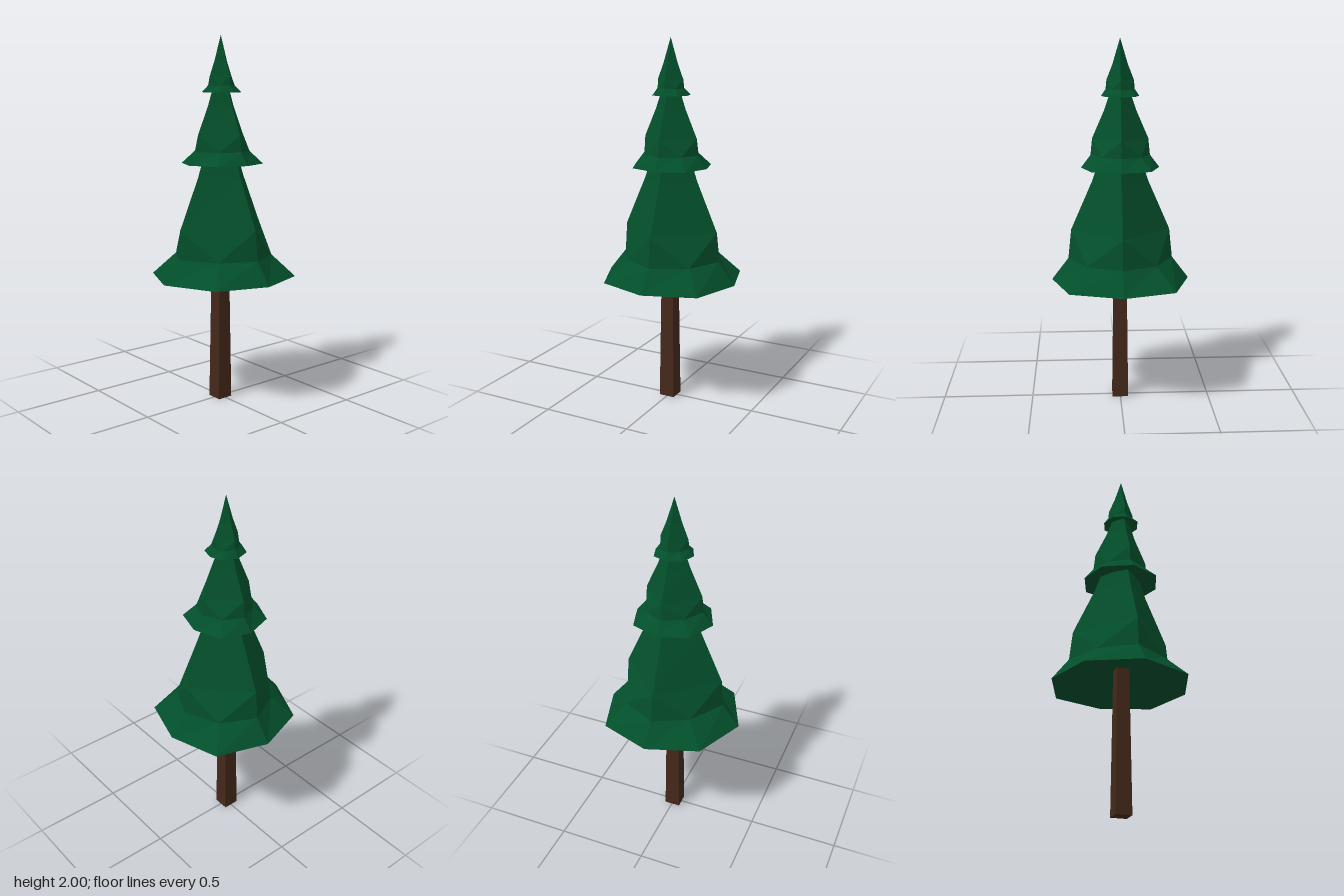
import * as THREE from 'three';

const leafMat = new THREE.MeshStandardMaterial({ color: 0x034f2b, flatShading: true });
const barkMat = new THREE.MeshStandardMaterial({ color: 0x44281a, flatShading: true });

// Eight-cornered flare rings: height, side radius, diagonal half-width, front z, back z, middle z
const HEM = [0.00, 0.376, 0.280, 0.384, -0.385, -0.020];
const WAIST = [0.12, 0.285, 0.187, 0.286, -0.290, -0.020];
// Four-cornered body rings: height, side radius, front z, back z, middle z
const SHOULDER = [0.28, 0.268, 0.275, -0.279, -0.018];
const NECK = [0.55, 0.150, 0.155, -0.160, -0.014];
const APEX = [0, 1, -0.005];
const HOLLOW = [0, 0.10, -0.015];

// Corners run counter-clockwise seen from above, starting at the front
const octagon = ([y, r, d, front, back, mid]) => [
  [0, y, front], [d, y, mid + d], [r, y, mid], [d, y, mid - d],
  [0, y, back], [-d, y, mid - d], [-r, y, mid], [-d, y, mid + d],
];
const diamond = ([y, r, front, back, mid]) => [
  [0, y, front], [r, y, mid], [0, y, back], [-r, y, mid],
];

// Eight-sided flare that turns into a four-sided spire, with a hollowed underside
function tierGeometry() {
  const hem = octagon(HEM), waist = octagon(WAIST);
  const shoulder = diamond(SHOULDER), neck = diamond(NECK);
  const pos = [];
  const tri = (a, b, c) => pos.push(...a, ...b, ...c);
  const quad = (a, b, c, d) => { tri(a, b, c); tri(a, c, d); };

  // Flare and underside
  for (let i = 0; i < 8; i++) {
    const j = (i + 1) % 8;
    quad(hem[i], hem[j], waist[j], waist[i]);
    tri(hem[j], hem[i], HOLLOW);
  }
  // Spire: each side rises from two waist edges
  for (let i = 0; i < 4; i++) {
    const j = (i + 1) % 4;
    const a = waist[2 * i], corner = waist[2 * i + 1], b = waist[2 * j];
    tri(a, corner, shoulder[i]);
    tri(corner, shoulder[j], shoulder[i]);
    tri(corner, b, shoulder[j]);
    quad(shoulder[i], shoulder[j], neck[j], neck[i]);
    tri(neck[i], neck[j], APEX);
  }
  const geo = new THREE.BufferGeometry();
  geo.setAttribute('position', new THREE.Float32BufferAttribute(pos, 3));
  geo.computeVertexNormals();
  return geo;
}

export function createModel() {
  const tree = new THREE.Group();
  tree.name = 'pineTree';

  // Square trunk, slightly tapered
  const trunkGeo = new THREE.CylinderGeometry(0.034 * Math.SQRT2, 0.044 * Math.SQRT2, 0.81, 4);
  trunkGeo.rotateY(Math.PI / 4);
  const trunk = new THREE.Mesh(trunkGeo, barkMat);
  trunk.name = 'trunk';
  trunk.position.set(0, 0.405, 0.002);
  tree.add(trunk);

  // Three stacked tiers of the same shape: name, base height, width scale, height scale
  const geo = tierGeometry();
  const tiers = [
    ['lowerFoliage', 0.70, 1, 1],
    ['middleFoliage', 1.32, 0.56, 0.56],
    ['topFoliage', 1.70, 0.27, 0.30],
  ];
  for (const [name, y, width, height] of tiers) {
    const tier = new THREE.Mesh(geo, leafMat);
    tier.name = name;
    tier.position.y = y;
    tier.scale.set(width, height, width);
    tree.add(tier);
  }
  return tree;
}
